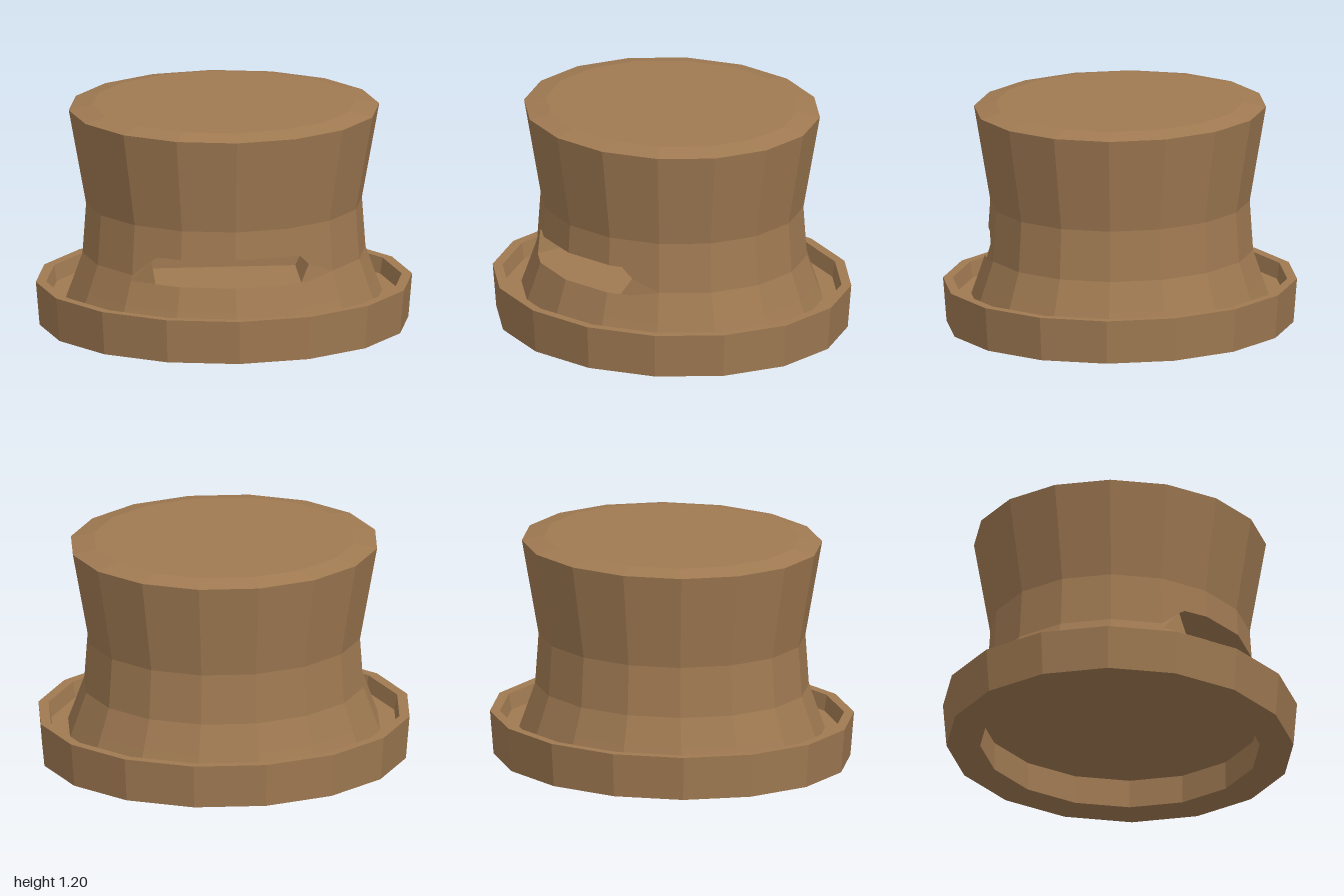
import * as THREE from 'three';

const SIDES = 16;
const DEPTH = 0.926; // the plan is slightly narrower in z than in x

// Body silhouette as [radius, height]
const PROFILE = [[0.84, 0.15], [0.808, 0.235], [0.752, 0.39], [0.733, 0.66], [0.825, 1.17], [0.70, 1.195]];

// Slot columns: position along the 16-sided plan, lower and upper edge height
const SLOT = [
  [-1.62, 0.48, 0.48], [-1.5, 0.36, 0.502], [-1, 0.36, 0.505], [0, 0.36, 0.508],
  [1, 0.36, 0.508], [1.26, 0.36, 0.506], [1.47, 0.45, 0.45],
];

function radiusAt(y) {
  for (let i = 1; i < PROFILE.length; i++) {
    const [r0, y0] = PROFILE[i - 1], [r1, y1] = PROFILE[i];
    if (y <= y1) return r0 + (r1 - r0) * (y - y0) / (y1 - y0);
  }
  return PROFILE[PROFILE.length - 1][0];
}

// Point on the faceted body; u counts sides, starting at the front
function bodyPoint(u, y) {
  const corner = k => {
    const a = k * Math.PI * 2 / SIDES;
    return new THREE.Vector3(Math.sin(a), 0, Math.cos(a) * DEPTH);
  };
  const k = Math.floor(u);
  const p = corner(k).lerp(corner(k + 1), u - k).multiplyScalar(radiusAt(y));
  return p.setY(y);
}

function facets(triangles) {
  const geometry = new THREE.BufferGeometry().setFromPoints(triangles);
  geometry.computeVertexNormals();
  return geometry;
}

function quad(out, a, b, c, d) {
  out.push(a, b, c, a, c, d);
}

// Faceted wall with the slot left open, closed by a bevelled top
function bodyGeometry() {
  const columns = SLOT.map(([u, low, high]) => ({ u, low, high, slot: true }));
  columns.unshift({ u: -2, low: 0.39, high: 0.505 });
  for (let u = 2; u <= 14; u++) columns.push({ u, low: 0.39, high: 0.505 });
  const out = [];
  const top = new THREE.Vector3(0, 1.195, 0);
  for (let i = 0; i + 1 < columns.length; i++) {
    const a = columns[i], b = columns[i + 1];
    const rows = c => [0.15, 0.235, 0.36, c.low, c.high, 0.66, 1.17, 1.195].map(y => bodyPoint(c.u, y));
    const pa = rows(a), pb = rows(b);
    for (let j = 0; j + 1 < pa.length; j++) {
      if (j === 3 && a.slot && b.slot) continue;
      quad(out, pa[j], pb[j], pb[j + 1], pa[j + 1]);
    }
    out.push(pa[pa.length - 1], pb[pb.length - 1], top);
  }
  return facets(out);
}

// Pocket behind the slot: floor, ends, ceiling and back wall
function pocketGeometry() {
  const lower = SLOT.map(([u, low]) => bodyPoint(u, low));
  const upper = SLOT.slice(1, -1).reverse().map(([u, , high]) => bodyPoint(u, high));
  const rim = [...lower, ...upper];
  const back = rim.map(p => new THREE.Vector3(p.x, p.y > 0.49 ? p.y - 0.01 : p.y, 0.25));
  const out = [];
  rim.forEach((p, i) => {
    const n = (i + 1) % rim.length;
    quad(out, p, rim[n], back[n], back[i]);
    if (i > 0 && i + 1 < rim.length) out.push(back[0], back[i], back[i + 1]);
  });
  return facets(out);
}

// Raised rim, gutter and the recessed underside
function baseGeometry() {
  const points = [
    [0, 0.155], [0.79, 0.155], [0.79, 0], [0.98, 0],
    [1, 0.235], [0.945, 0.235], [0.93, 0.15], [0.835, 0.15],
  ].map(([r, y]) => new THREE.Vector2(r, y));
  return new THREE.LatheGeometry(points, SIDES).scale(1, 1, DEPTH);
}

export function createModel() {
  const brown = new THREE.MeshStandardMaterial({ color: 0xa07a52, flatShading: true, side: THREE.DoubleSide });
  brown.name = 'brown';
  const group = new THREE.Group();
  group.name = 'slottedPot';
  const parts = { base: baseGeometry(), body: bodyGeometry(), slotPocket: pocketGeometry() };
  for (const [name, geometry] of Object.entries(parts)) {
    const mesh = new THREE.Mesh(geometry, brown);
    mesh.name = name;
    group.add(mesh);
  }
  return group;
}
